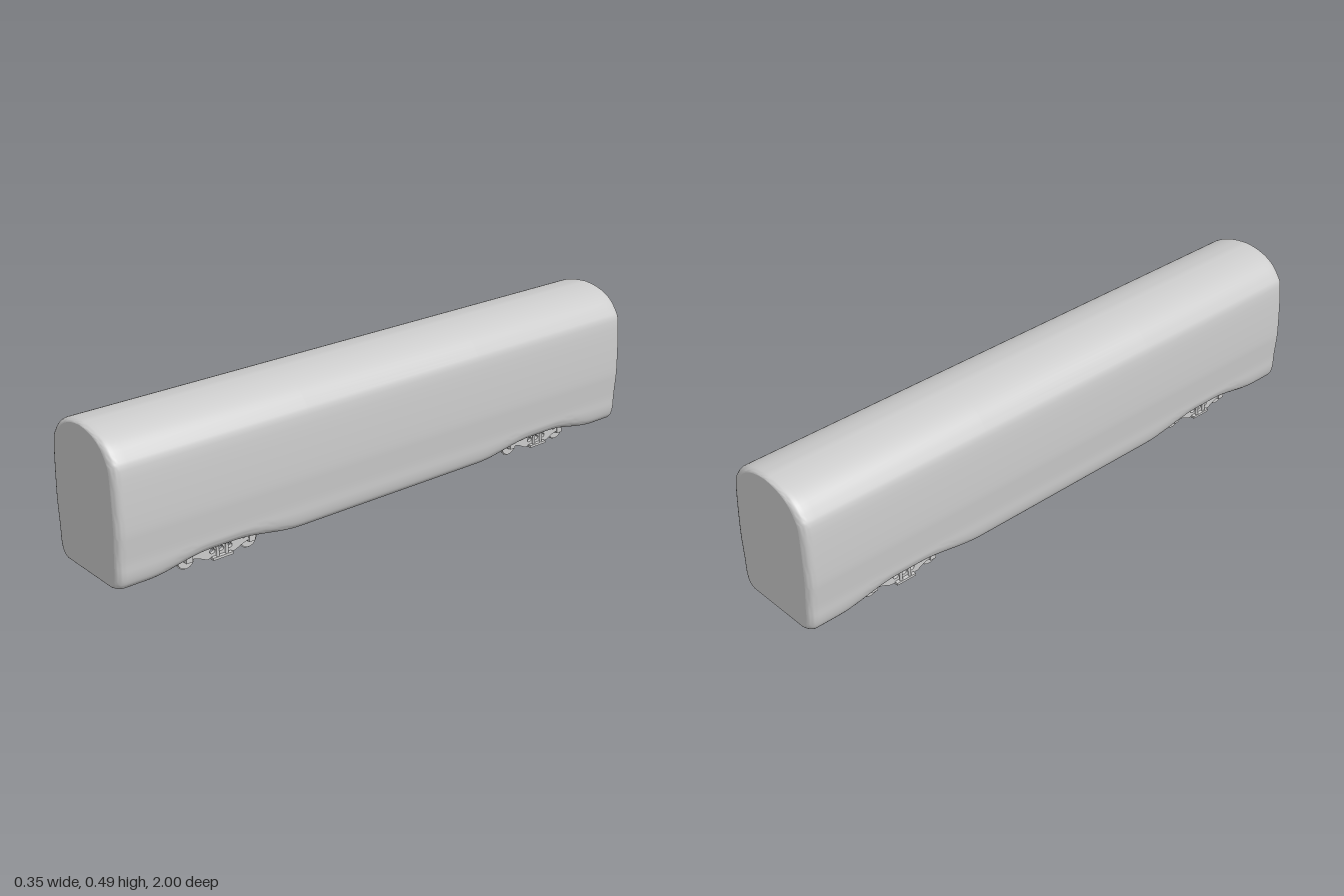
import * as THREE from 'three';
import { toCreasedNormals } from 'three/addons/utils/BufferGeometryUtils.js';

const grey = new THREE.MeshStandardMaterial({ color: 0xcccccc, side: THREE.DoubleSide });
const { smoothstep } = THREE.MathUtils;

function mesh(geometry, name, parent, x = 0, y = 0, z = 0) {
  const m = new THREE.Mesh(geometry, grey);
  m.name = name;
  m.position.set(x, y, z);
  parent.add(m);
  return m;
}

// Half of the cross-section, from the lower lip up to the roof ridge
const HALF = new THREE.SplineCurve([
  [0.13, 0.031], [0.148, 0.037], [0.16, 0.053], [0.166, 0.082], [0.167, 0.12], [0.172, 0.18], [0.174, 0.22],
  [0.172, 0.31], [0.166, 0.395], [0.153, 0.424], [0.127, 0.455], [0.09, 0.477], [0.045, 0.49], [0, 0.495],
].map(([x, y]) => new THREE.Vector2(x, y))).getPoints(39);

// How far the lower edge lifts above the bogies
function archRise(z) {
  const a = Math.abs(z);
  return 0.029 * smoothstep(a, 0.36, 0.6) * (1 - smoothstep(a, 0.69, 0.9));
}

// One closed ring of the body; inset rounds the ends, recess lifts the floor panel
function ring(z, inset, recess) {
  const rise = archRise(z);
  const right = HALF.map((p) => {
    const low = 1 - smoothstep(p.y, 0.03, 0.13);
    const high = (p.y - 0.031) / 0.464;
    return new THREE.Vector3(
      p.x * (1 - 0.155 * inset), p.y + low * (rise + 0.006 * inset) - 0.01 * inset * high, z);
  });
  const left = right.slice(0, -1).reverse().map((p) => new THREE.Vector3(-p.x, p.y, z));
  const { x, y } = right[0];
  return [...right, ...left,
    new THREE.Vector3(-x + 0.003, y + recess, z), new THREE.Vector3(x - 0.003, y + recess, z)];
}

function bodyGeometry() {
  const r = 0.025, recess = 0.005, stations = [];
  // Rounded end, then the step of the recessed floor, then the long middle
  for (let i = 0; i <= 6; i++) {
    const a = (Math.PI / 2) * (1 - i / 6);
    stations.push([1 - r + r * Math.sin(a), 1 - Math.cos(a), 0]);
  }
  stations.push([0.95, 0, 0], [0.947, 0, recess]);
  for (let z = 0.92; z > 0.33; z -= 0.02) stations.push([z, 0, recess]);
  const rings = [
    ...stations.map(([z, f, y]) => ring(-z, f, y)),
    ...stations.slice().reverse().map(([z, f, y]) => ring(z, f, y)),
  ];
  const pos = [];
  const tri = (...ps) => ps.forEach((p) => pos.push(p.x, p.y, p.z));
  const n = rings[0].length;
  for (let i = 0; i < rings.length - 1; i++) {
    for (let j = 0; j < n; j++) {
      const k = (j + 1) % n;
      tri(rings[i][j], rings[i][k], rings[i + 1][k]);
      tri(rings[i][j], rings[i + 1][k], rings[i + 1][j]);
    }
  }
  const g = new THREE.BufferGeometry();
  g.setAttribute('position', new THREE.Float32BufferAttribute(pos, 3));
  return toCreasedNormals(g, 0.6);
}

// Side frame of a bogie: a dropped beam with three openings
function frameGeometry() {
  const s = new THREE.Shape();
  s.moveTo(-0.115, 0.046);
  [[-0.08, 0.038], [-0.05, 0.024], [0.05, 0.024], [0.08, 0.038], [0.115, 0.046], [0.115, 0.056],
    [0.08, 0.053], [0.06, 0.063], [-0.06, 0.063], [-0.08, 0.053], [-0.115, 0.056]]
    .forEach(([x, y]) => s.lineTo(x, y));
  for (const x of [-0.03, 0, 0.03]) {
    const h = new THREE.Path();
    h.absellipse(x, 0.046, 0.01, 0.008, 0, Math.PI * 2, true);
    s.holes.push(h);
  }
  const g = new THREE.ExtrudeGeometry(s, { depth: 0.012, bevelEnabled: false, curveSegments: 6 });
  return g.translate(0, 0, -0.006).rotateY(Math.PI / 2);
}

function createBogie(z) {
  const bogie = new THREE.Group();
  bogie.name = 'bogie';
  bogie.position.z = z;
  const cyl = (radius, length) => new THREE.CylinderGeometry(radius, radius, length, 24).rotateZ(Math.PI / 2);
  const frame = frameGeometry();
  for (const dz of [-0.11, 0.11]) {
    mesh(cyl(0.004, 0.25), 'axle', bogie, 0, 0.038, dz);
    for (const side of [-1, 1]) {
      mesh(cyl(0.029, 0.005), 'wheel', bogie, side * 0.1125, 0.038, dz);
      mesh(cyl(0.032, 0.002), 'wheelFlange', bogie, side * 0.1095, 0.038, dz);
      mesh(new THREE.BoxGeometry(0.02, 0.022, 0.022), 'axleBox', bogie, side * 0.125, 0.046, dz);
    }
  }
  for (const side of [-1, 1]) {
    mesh(frame, 'sideFrame', bogie, side * 0.126, 0, 0);
    // Lower spring plank and its two springs
    mesh(new THREE.BoxGeometry(0.026, 0.008, 0.07), 'springPlank', bogie, side * 0.131, 0.025, 0);
    for (const dz of [-0.016, 0.016]) {
      mesh(new THREE.CylinderGeometry(0.005, 0.005, 0.035, 12), 'spring', bogie, side * 0.138, 0.045, dz);
    }
  }
  return bogie;
}

export function createModel() {
  const model = new THREE.Group();
  model.name = 'railwayCarriage';
  mesh(bodyGeometry(), 'carriageBody', model);
  // Flat end walls
  const wall = new THREE.ShapeGeometry(new THREE.Shape(ring(1, 1, 0).map((p) => new THREE.Vector2(p.x, p.y))));
  mesh(wall, 'frontWall', model, 0, 0, 1);
  mesh(wall, 'backWall', model, 0, 0, -1).rotation.y = Math.PI;
  for (const z of [-0.645, 0.64]) model.add(createBogie(z));
  return model;
}
